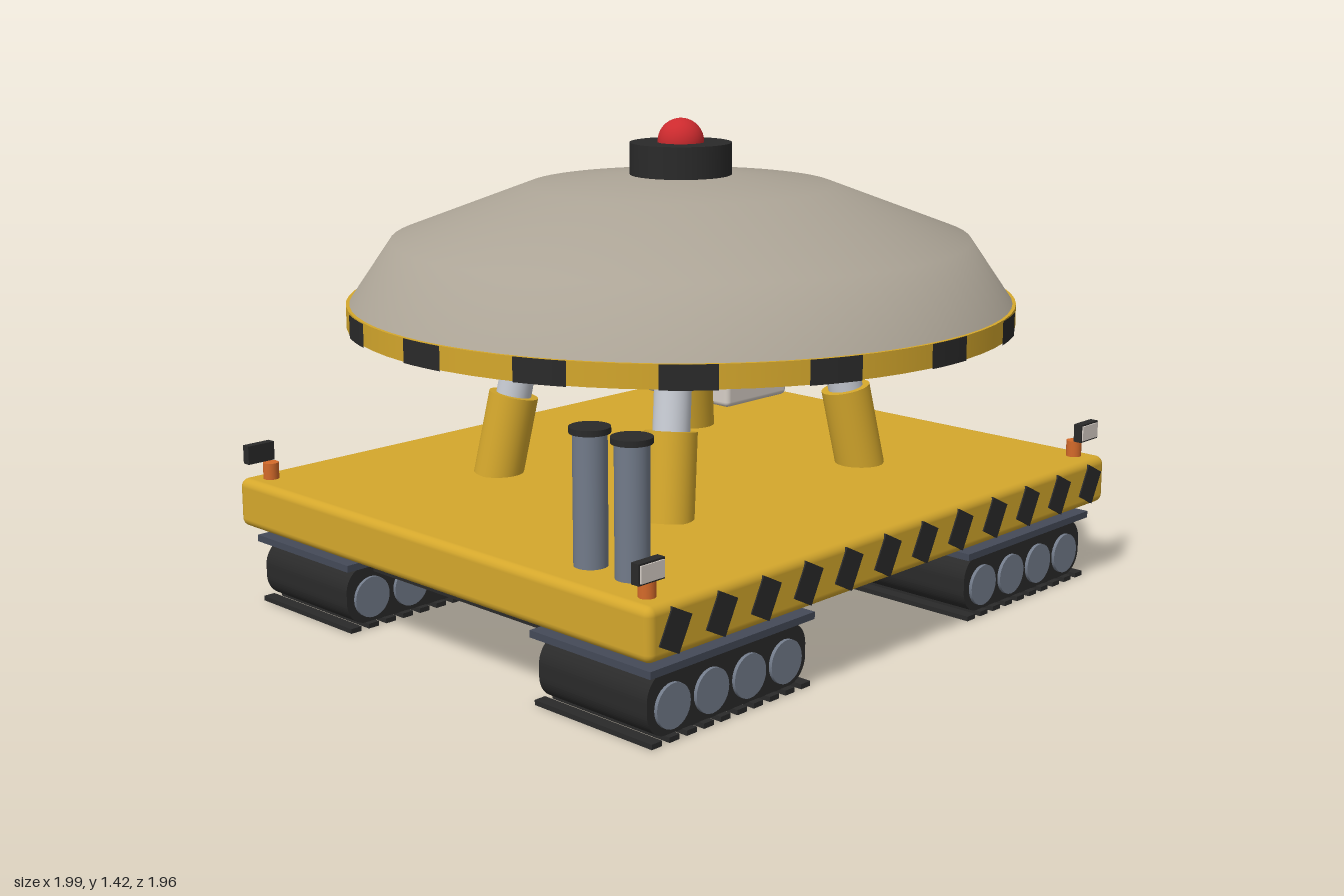
import * as THREE from 'three';
import { RoundedBoxGeometry } from 'three/addons/geometries/RoundedBoxGeometry.js';

const mat = (name, color, side = THREE.FrontSide) => {
  const m = new THREE.MeshStandardMaterial({ color, side });
  m.name = name;
  return m;
};

export function createModel() {
  const yellow = mat('safety yellow', 0xd4a72c);
  const shell = mat('warm grey shell', 0xaca496, THREE.DoubleSide);
  const black = mat('black', 0x2a2a2a);
  const cream = mat('cab off-white', 0xd6cec6);
  const slate = mat('slate grey', 0x727b8a);
  const silver = mat('polished steel', 0xc6cad2);
  const dark = mat('dark steel', 0x444a58);
  const red = mat('beacon red', 0xcc2a2e);
  const orange = mat('marker orange', 0xd46a2a);

  const root = new THREE.Group();
  root.name = 'domeCrawler';

  const add = (name, geo, m, x = 0, y = 0, z = 0, parent = root) => {
    const mesh = new THREE.Mesh(geo, m);
    mesh.name = name;
    mesh.position.set(x, y, z);
    parent.add(mesh);
    return mesh;
  };
  const box = (w, h, d) => new THREE.BoxGeometry(w, h, d);
  const round = (w, h, d, r) => new RoundedBoxGeometry(w, h, d, 3, r);
  const cyl = (r, h, n = 32) => new THREE.CylinderGeometry(r, r, h, n);
  const group = (name, x = 0, y = 0, z = 0) => {
    const g = new THREE.Group();
    g.name = name;
    g.position.set(x, y, z);
    root.add(g);
    return g;
  };

  // Deck and the chassis slab below it
  add('deck', round(1.99, 0.145, 1.7, 0.025), yellow, 0, 0.308, 0);
  add('chassis', box(1.7, 0.08, 1.29), black, 0, 0.2, 0);

  // Slanted hazard stripes on front and back edges
  for (const s of [1, -1]) {
    for (let i = 0; i < 12; i++) {
      const stripe = add('hazardStripe', box(0.076, 0.102, 0.008), black, -0.905 + i * 0.165, 0.307, s * 0.85);
      stripe.rotation.z = -0.47;
    }
  }

  // Track outline: a rounded rectangle extruded across the unit
  const hw = 0.297, hh = 0.086, r = 0.07;
  const outline = new THREE.Shape();
  outline.moveTo(-hw + r, -hh);
  outline.lineTo(hw - r, -hh);
  outline.absarc(hw - r, -hh + r, r, -Math.PI / 2, 0);
  outline.absarc(hw - r, hh - r, r, 0, Math.PI / 2);
  outline.absarc(-hw + r, hh - r, r, Math.PI / 2, Math.PI);
  outline.absarc(-hw + r, -hh + r, r, Math.PI, Math.PI * 1.5);
  const beltGeo = new THREE.ExtrudeGeometry(outline, { depth: 0.39, bevelEnabled: false, curveSegments: 8 });
  beltGeo.translate(0, 0, -0.195);
  const wheelGeo = cyl(0.06, 0.41, 28).rotateX(Math.PI / 2);

  // Four crawler units
  for (const sx of [1, -1]) {
    for (const sz of [1, -1]) {
      const unit = group('crawlerUnit', sx * 0.65, 0, sz * 0.6);
      add('trackBelt', beltGeo, black, 0, 0.099, 0, unit);
      for (let i = 0; i < 4; i++) add('roadWheel', wheelGeo, slate, -0.212 + i * 0.1413, 0.088, 0, unit);
      for (let i = 0; i < 10; i++) add('trackPad', box(0.036, 0.014, 0.425), black, -0.28 + i * 0.0622, 0.007, 0, unit);
      add('trackGuard', box(0.615, 0.02, 0.435), dark, 0, 0.195, 0, unit);
      add('pivot', cyl(0.08, 0.05), silver, 0, 0.222, 0, unit);
    }
  }

  // Lifting rams leaning in toward the dome
  for (const sx of [1, -1]) {
    for (const sz of [1, -1]) {
      const ram = group('liftingRam', sx * 0.418, 0.37, sz * 0.352);
      const dir = new THREE.Vector3(-sx * 0.08, 0.46, -sz * 0.052).normalize();
      ram.quaternion.setFromUnitVectors(new THREE.Vector3(0, 1, 0), dir);
      add('ramSleeve', cyl(0.073, 0.25), yellow, 0, 0.125, 0, ram);
      add('ramRod', cyl(0.052, 0.3), silver, 0, 0.35, 0, ram);
    }
  }

  // Dome shell, rim and striped rim patches
  const profile = [[0.97, 0.9], [0.845, 1.083], [0.45, 1.233], [0.15, 1.262], [0, 1.265]];
  add('domeShell', new THREE.LatheGeometry(profile.map(p => new THREE.Vector2(...p)), 72), shell);
  add('domeRim', cyl(0.976, 0.065, 72), yellow, 0, 0.873, 0);
  const patchGeo = new THREE.CylinderGeometry(0.982, 0.982, 0.067, 4, 1, true, -0.076, 0.152);
  for (let i = 0; i < 16; i++) {
    add('rimPatch', patchGeo, black, 0, 0.873, 0).rotation.y = i * Math.PI / 8;
  }

  // Beacon on the crown
  add('beaconBase', cyl(0.149, 0.1, 40), black, 0, 1.305, 0);
  add('beacon', new THREE.SphereGeometry(0.068, 28, 18), red, 0, 1.357, 0);

  // Exhaust stacks
  for (const z of [0.5, 0.65]) {
    add('exhaustStack', cyl(0.045, 0.36), slate, -0.85, 0.555, z);
    add('exhaustCap', cyl(0.054, 0.016), black, -0.85, 0.736, z);
  }

  // Operator cab with a side window
  add('cab', round(0.305, 0.255, 0.395, 0.018), cream, 0.8, 0.508, -0.602);
  add('cabRoof', round(0.325, 0.02, 0.43, 0.008), yellow, 0.802, 0.642, -0.602);
  add('cabWindow', box(0.009, 0.1, 0.35), black, 0.954, 0.555, -0.602);

  // Corner work lamps facing outward, with orange markers
  for (const sx of [1, -1]) {
    for (const sz of [1, -1]) {
      add('lampHousing', box(0.09, 0.055, 0.026), black, sx * 0.95, 0.458, sz * 0.804);
      add('lampLens', box(0.08, 0.045, 0.006), cream, sx * 0.95, 0.458, sz * 0.818);
      add('marker', cyl(0.023, 0.05, 20), orange, sx * 0.928, 0.404, sz * 0.778);
    }
  }

  return root;
}
